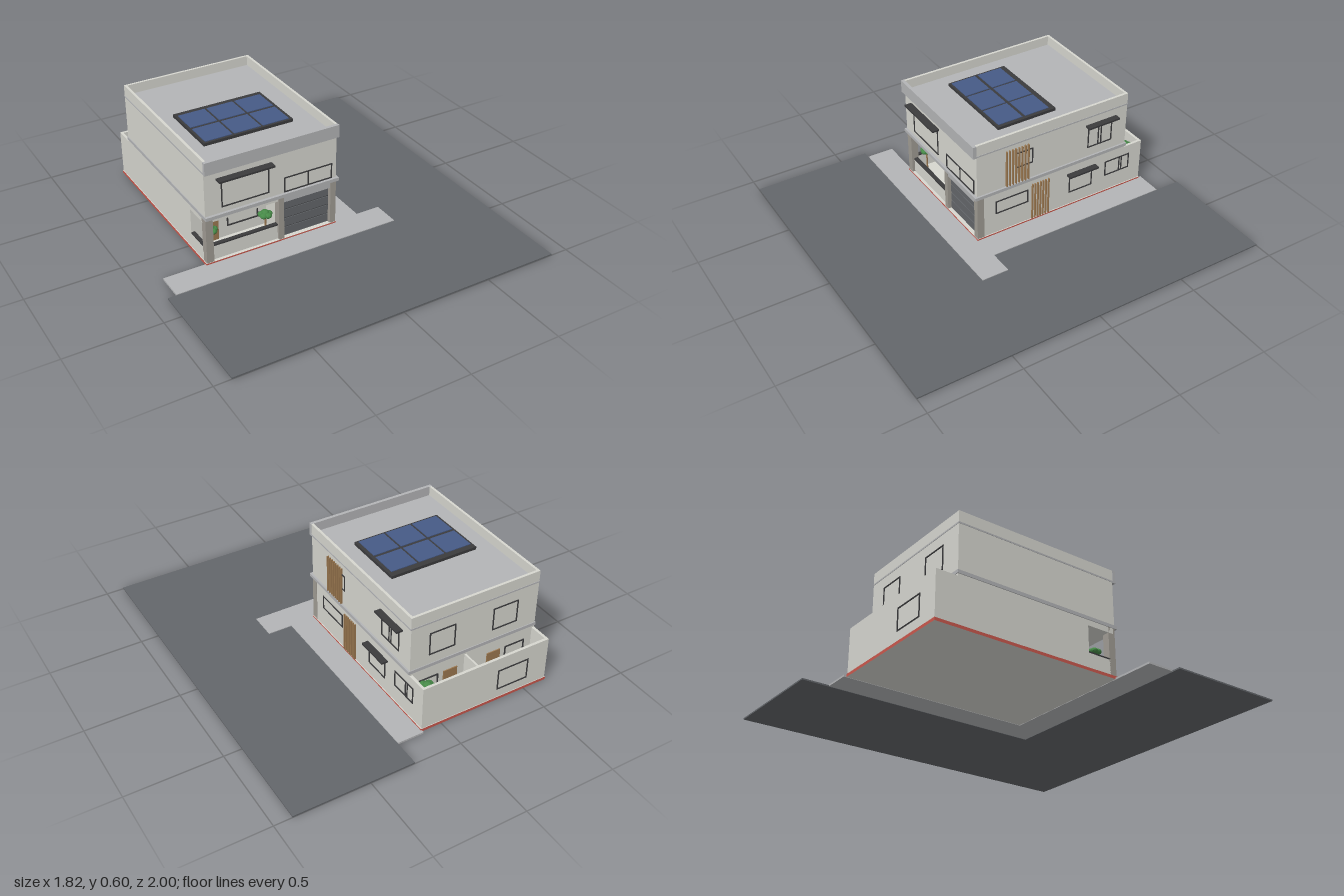
import * as THREE from 'three';

const mat = (name, color, side = THREE.FrontSide) => {
  const m = new THREE.MeshStandardMaterial({ color, side });
  m.name = name;
  return m;
};

export function createModel() {
  const wall = mat('pale wall', 0xd6d6cf), concrete = mat('concrete', 0xb3b4b6);
  const asphalt = mat('asphalt', 0x63666a), dark = mat('dark metal', 0x3b3b3d);
  const blue = mat('solar blue', 0x465a86), wood = mat('wood', 0x9b7850);
  const green = mat('foliage', 0x478a48), red = mat('red plinth', 0xc9584d);
  const stone = mat('pillar stone', 0x9f9b93);

  const house = new THREE.Group();
  house.name = 'house';

  // Box given by its limits on each axis
  const box = (name, m, x0, x1, y0, y1, z0, z1, parent = house) => {
    const mesh = new THREE.Mesh(new THREE.BoxGeometry(x1 - x0, y1 - y0, z1 - z0), m);
    mesh.position.set((x0 + x1) / 2, (y0 + y1) / 2, (z0 + z1) / 2);
    mesh.name = name;
    parent.add(mesh);
    return mesh;
  };

  // Thin window frame in the local xy plane, facing +z, with optional mullions
  const windowFrame = (name, w, h, pos, turn = 0, mullions = []) => {
    const g = new THREE.Group();
    g.name = name;
    const t = 0.006, d = 0.004;
    for (const s of [-1, 1]) {
      box('frameRail', dark, -w / 2, w / 2, s * (h - t) / 2 - t / 2, s * (h - t) / 2 + t / 2, -d, d, g);
      box('frameStile', dark, s * (w - t) / 2 - t / 2, s * (w - t) / 2 + t / 2, -h / 2 + t, h / 2 - t, -d, d, g);
    }
    for (const x of mullions) box('mullion', dark, x - t / 2, x + t / 2, -h / 2 + t, h / 2 - t, -d, d, g);
    g.position.set(...pos);
    g.rotation.y = turn;
    house.add(g);
  };
  const frontWindow = (x0, x1, y0, y1, z, mullions) =>
    windowFrame('frontWindow', x1 - x0, y1 - y0, [(x0 + x1) / 2, (y0 + y1) / 2, z], 0, mullions);
  const backWindow = (x0, x1, y0, y1, z) =>
    windowFrame('backWindow', x1 - x0, y1 - y0, [(x0 + x1) / 2, (y0 + y1) / 2, z], Math.PI);
  const sideWindow = (z0, z1, y0, y1, mullions) =>
    windowFrame('sideWindow', z1 - z0, y1 - y0, [0.115, (y0 + y1) / 2, (z0 + z1) / 2], Math.PI / 2, mullions);

  // Road and pavement
  box('frontRoad', asphalt, -0.91, 0.905, 0, 0.008, 0.35, 1);
  box('sideRoad', asphalt, 0.26, 0.905, 0, 0.008, -1, 0.35);
  box('frontPavement', concrete, -0.865, 0.395, 0.002, 0.012, 0.2, 0.35);
  box('sidePavement', concrete, 0.115, 0.26, 0.002, 0.012, -0.855, 0.2);

  // Plinth: red edges, pale floor
  const plinth = box('plinth', wall, -0.634, 0.12, 0.004, 0.02, -0.84, 0.212);
  plinth.material = [red, red, wall, wall, red, red];

  // Ground floor: rooms, garage, porch
  box('groundFloorRooms', wall, -0.63, 0.115, 0.02, 0.275, -0.72, 0.04);
  box('garageBlock', wall, -0.2, 0.115, 0.02, 0.275, 0.04, 0.18);
  box('porchCeiling', wall, -0.63, -0.2, 0.245, 0.275, 0.04, 0.2);
  box('porchFrontWall', wall, -0.59, -0.22, 0.02, 0.1, 0.175, 0.195);
  box('porchSideWall', wall, -0.63, -0.61, 0.02, 0.1, 0.04, 0.175);
  box('porchFrontRail', dark, -0.59, -0.22, 0.1, 0.108, 0.175, 0.197);
  box('porchSideRail', dark, -0.63, -0.61, 0.1, 0.108, 0.04, 0.175);
  for (const [x0, x1] of [[-0.63, -0.59], [-0.22, -0.19], [0.085, 0.117]])
    box('frontPillar', stone, x0, x1, 0.02, 0.275, 0.17, 0.21);
  box('garageHeader', concrete, -0.19, 0.085, 0.233, 0.275, 0.17, 0.206);
  box('frontDoor', wood, -0.565, -0.48, 0.02, 0.21, 0.04, 0.046);
  frontWindow(-0.43, -0.25, 0.08, 0.21, 0.042);

  // Garage door panels with dark joints
  box('garageDoorJoints', dark, -0.19, 0.085, 0.02, 0.233, 0.178, 0.186);
  for (let i = 0; i < 4; i++)
    box('garageDoorPanel', asphalt, -0.188, 0.083, 0.022 + i * 0.053, 0.069 + i * 0.053, 0.184, 0.19);

  // Rear courtyard
  box('courtBackWall', wall, -0.63, 0.115, 0.02, 0.262, -0.837, -0.822);
  box('courtLeftWall', wall, 0.1, 0.115, 0.02, 0.262, -0.822, -0.72);
  box('courtRightWall', wall, -0.63, -0.615, 0.02, 0.262, -0.822, -0.72);
  box('courtDivider', wall, -0.213, -0.203, 0.02, 0.262, -0.822, -0.72);
  box('courtDoor', wood, -0.16, -0.08, 0.02, 0.21, -0.726, -0.72);
  box('courtDoor', wood, -0.42, -0.34, 0.02, 0.21, -0.726, -0.72);
  backWindow(-0.57, -0.45, 0.11, 0.21, -0.721);
  backWindow(-0.05, 0.07, 0.11, 0.21, -0.721);

  // Upper floor, floor band and parapet
  box('floorBand', concrete, -0.634, 0.125, 0.275, 0.293, -0.724, 0.225);
  box('upperFloor', wall, -0.63, 0.115, 0.293, 0.535, -0.72, 0.21);
  box('roofLine', concrete, -0.632, 0.118, 0.535, 0.543, -0.722, 0.212);
  box('roofDeck', concrete, -0.617, 0.103, 0.543, 0.55, -0.707, 0.212);
  box('sideParapet', wall, -0.63, -0.616, 0.543, 0.603, -0.72, 0.212);
  box('sideParapet', wall, 0.102, 0.116, 0.543, 0.603, -0.72, 0.212);
  box('backParapet', wall, -0.616, 0.102, 0.543, 0.603, -0.72, -0.706);
  box('frontFascia', concrete, -0.632, 0.118, 0.533, 0.603, 0.212, 0.23);

  // Windows
  frontWindow(-0.54, -0.275, 0.322, 0.482, 0.21);
  frontWindow(-0.19, 0.09, 0.296, 0.382, 0.21, [0]);
  sideWindow(-0.1, 0.1, 0.14, 0.22);
  sideWindow(-0.51, -0.36, 0.095, 0.21);
  sideWindow(-0.757, -0.595, 0.117, 0.21, [0.015, 0.03]);
  sideWindow(-0.125, -0.02, 0.385, 0.477);
  sideWindow(-0.625, -0.47, 0.347, 0.48, [-0.01, 0.008]);
  backWindow(-0.14, 0.01, 0.347, 0.477, -0.72);
  backWindow(-0.51, -0.36, 0.347, 0.477, -0.72);
  backWindow(-0.51, -0.325, 0.07, 0.19, -0.837);

  // Awnings
  box('frontAwning', dark, -0.565, -0.26, 0.482, 0.492, 0.21, 0.25);
  box('upperSideAwning', dark, 0.115, 0.15, 0.482, 0.492, -0.65, -0.455);
  box('lowerSideAwning', dark, 0.115, 0.15, 0.211, 0.221, -0.53, -0.345);

  // Wooden screens on the side wall
  for (let i = 0; i < 8; i++) {
    const z = 0.036 - i * 0.0187;
    box('upperSlat', wood, 0.115, 0.127, 0.295, 0.51, z - 0.003, z + 0.003);
  }
  for (let i = 0; i < 7; i++) {
    const z = -0.125 - i * 0.0168;
    box('lowerSlat', wood, 0.115, 0.125, 0.022, 0.245, z - 0.003, z + 0.003);
  }

  // Solar array, three by two
  box('solarFrame', dark, -0.52, -0.015, 0.552, 0.568, -0.35, 0.002);
  for (let i = 0; i < 3; i++) for (let j = 0; j < 2; j++) {
    const x = -0.507 + i * 0.162, z = -0.318 + j * 0.163;
    box('solarPanel', blue, x, x + 0.15, 0.566, 0.572, z, z + 0.145);
  }

  // Plants: stem and a cluster of faceted leaves
  const plant = (x, z, base, top, r) => {
    const g = new THREE.Group();
    g.name = 'plant';
    const stem = new THREE.Mesh(new THREE.CylinderGeometry(0.004, 0.006, top - base, 6), wood);
    stem.name = 'stem';
    stem.position.y = (top + base) / 2;
    g.add(stem);
    for (let i = 0; i < 6; i++) {
      const a = i * Math.PI / 2.5, k = i === 5 ? 0 : 0.5;
      const geo = new THREE.IcosahedronGeometry(r * 0.55, 1).toNonIndexed();
      geo.computeVertexNormals();
      const leaf = new THREE.Mesh(geo, green);
      leaf.name = 'leaves';
      leaf.scale.y = 0.75;
      leaf.position.set(Math.cos(a) * r * k, top + (i === 5 ? r * 0.25 : 0), Math.sin(a) * r * k);
      g.add(leaf);
    }
    g.position.set(x, 0, z);
    house.add(g);
  };
  plant(-0.565, 0.13, 0.02, 0.152, 0.036);
  plant(-0.255, 0.13, 0.02, 0.142, 0.038);
  plant(0.05, -0.777, 0.02, 0.21, 0.044);

  return house;
}
